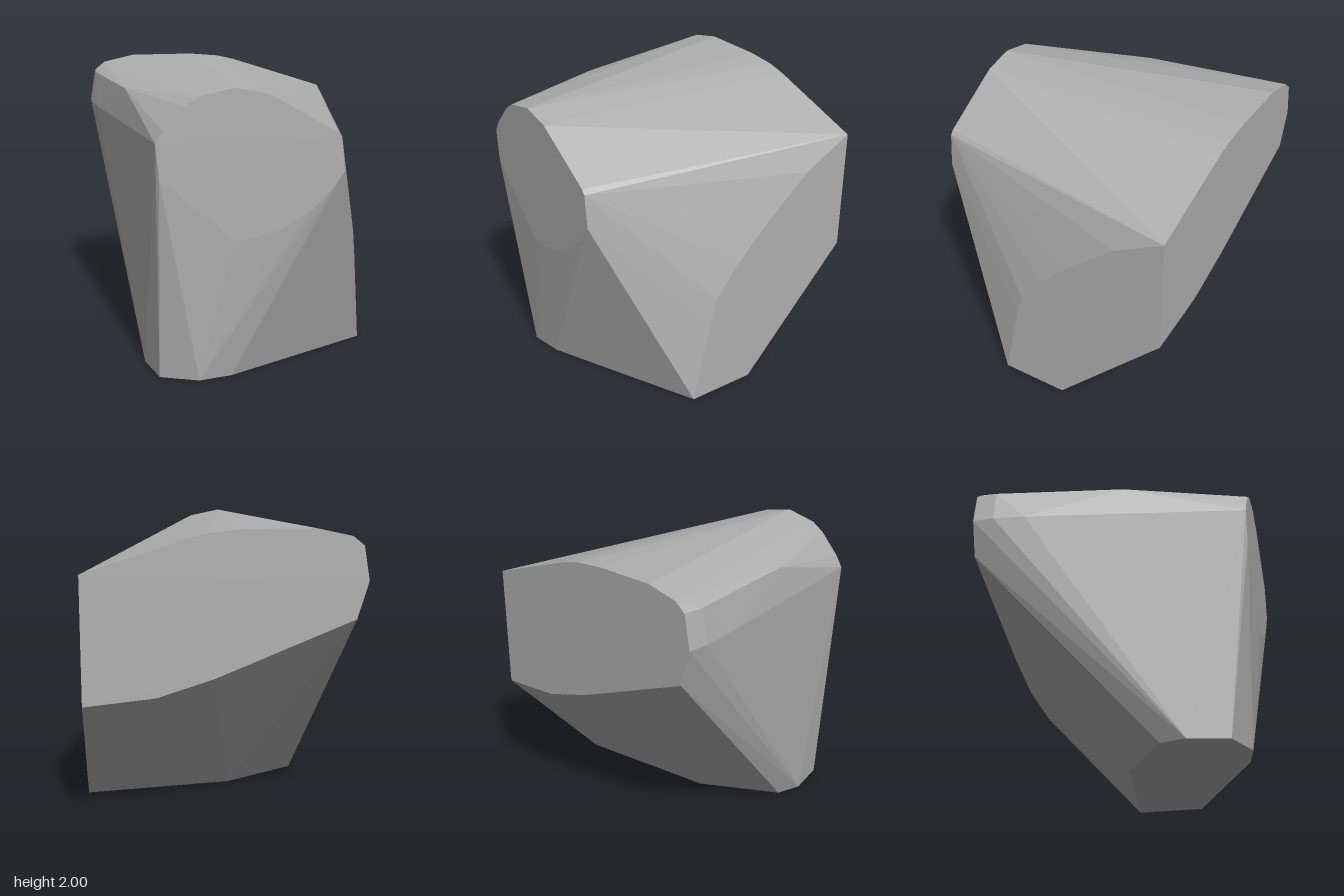
import * as THREE from 'three';
import { ConvexGeometry } from 'three/addons/geometries/ConvexGeometry.js';

// Each cut face of the stone is a short outline lying in one plane.
const frontFace = [ // x, y at z = 0.95
  [-0.64, 1.66], [-0.59, 1.74], [-0.45, 1.89], [-0.36, 1.95], [-0.13, 2], [0.09, 1.955],
  [0.55, 1.69], [0.575, 1.66], [0.6, 1.43], [0.52, 1.32], [0.38, 1.18], [0.2, 1.07],
  [0, 1.01], [-0.13, 1], [-0.62, 1.43],
];
const backFace = [ // x, y at z = -0.95
  [0.93, 0.86], [0.45, 0.91], [0.07, 1.03], [-0.86, 1.41], [-0.935, 1.66], [-0.895, 1.89],
  [-0.82, 1.95], [-0.59, 2], [-0.13, 2], [0.09, 1.98], [0.22, 1.95], [0.93, 1.72],
];
const base = [ // x, z at y = 0
  [0.93, 0.33], [0.93, -0.16], [-0.12, 0], [-0.64, 0.32], [-0.69, 0.5],
  [-0.62, 0.78], [-0.36, 0.885], [-0.13, 0.84],
];
const sideFace = [ // y, z at x = 0.93
  [0.6, 0.2], [0.78, 0.15], [1, -0.02], [1.2, -0.22], [1.36, -0.4], [1.53, -0.6],
];
const shoulder = [ // corners between the faces on the right-hand side
  [-0.94, 1.66, -0.8], [-0.9, 1.89, -0.8], [-0.91, 1.66, -0.58], [-0.75, 1.89, 0.1],
];

export function createModel() {
  const v = (x, y, z) => new THREE.Vector3(x, y, z);
  const corners = [
    ...frontFace.map(([x, y]) => v(x, y, 0.95)),
    ...backFace.map(([x, y]) => v(x, y, -0.95)),
    ...base.map(([x, z]) => v(x, 0, z)),
    ...sideFace.map(([y, z]) => v(0.93, y, z)),
    ...shoulder.map((p) => v(...p)),
  ];

  const stoneGrey = new THREE.MeshStandardMaterial({ color: 0xb0b0b0 });
  stoneGrey.name = 'stone grey';

  // Faceted stone block spanning all the cut faces
  const stone = new THREE.Mesh(new ConvexGeometry(corners), stoneGrey);
  stone.name = 'stoneBlock';

  const group = new THREE.Group();
  group.name = 'stone';
  group.add(stone);
  return group;
}
